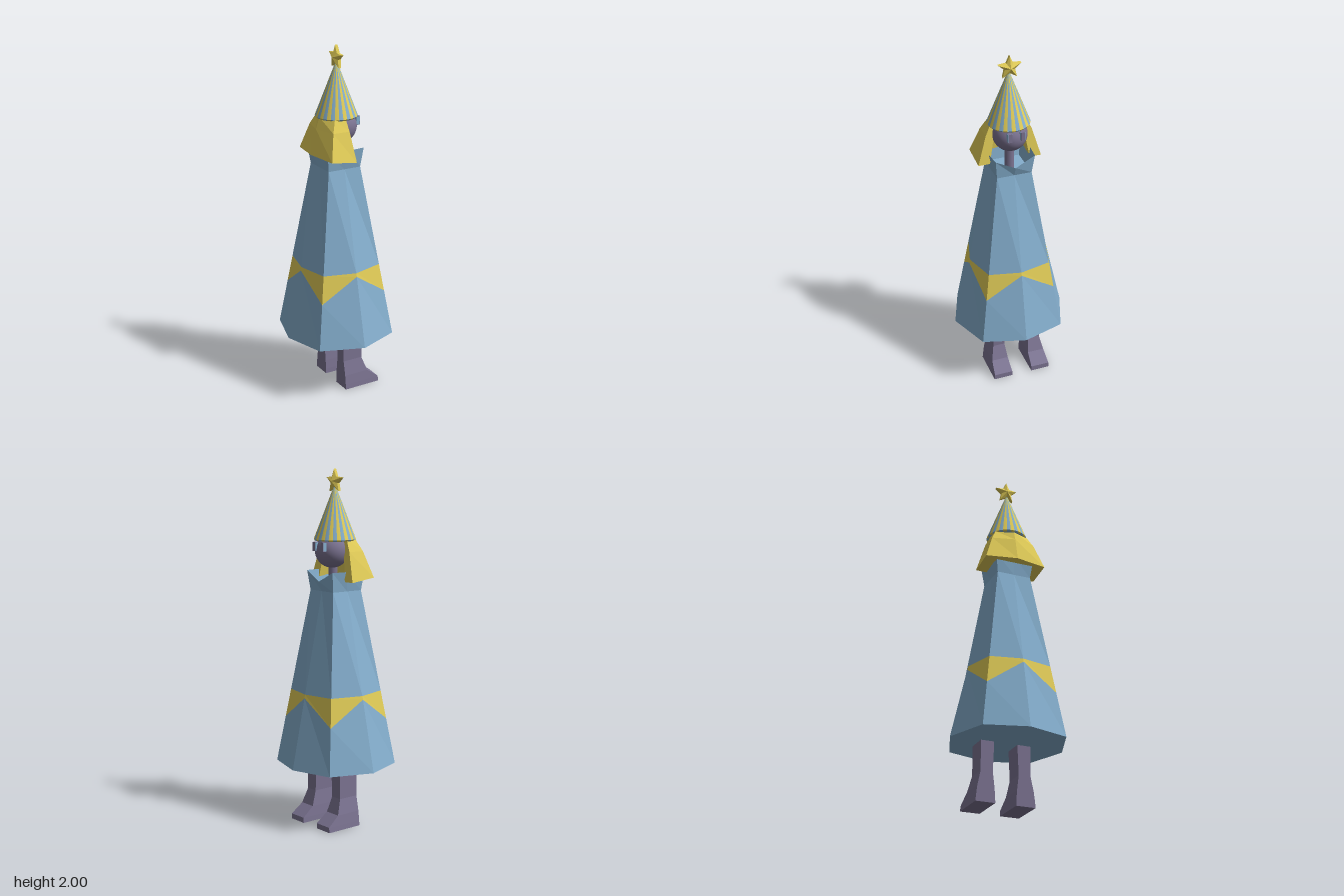
import * as THREE from 'three';

const mat = (name, color, extra = {}) => Object.assign(new THREE.MeshStandardMaterial({ color, ...extra }), { name });

// Faceted surface through closed loops listed from bottom to top
function loft(loops, capBottom = false, capTop = false) {
  const out = [];
  const tri = (a, b, c) => out.push(...a, ...b, ...c);
  const n = loops[0].length;
  for (let k = 0; k < loops.length - 1; k++) {
    const a = loops[k], b = loops[k + 1];
    for (let i = 0; i < n; i++) {
      const j = (i + 1) % n;
      tri(a[i], b[i], b[j]);
      tri(a[i], b[j], a[j]);
    }
  }
  const cap = (p, up) => {
    for (let i = 1; i < n - 1; i++) up ? tri(p[0], p[i + 1], p[i]) : tri(p[0], p[i], p[i + 1]);
  };
  if (capBottom) cap(loops[0], false);
  if (capTop) cap(loops[loops.length - 1], true);
  return toGeometry(out);
}

function toGeometry(positions) {
  const g = new THREE.BufferGeometry();
  g.setAttribute('position', new THREE.Float32BufferAttribute(positions, 3));
  g.computeVertexNormals();
  return g;
}

export function createModel() {
  const group = new THREE.Group();
  group.name = 'robedFigure';
  const blue = mat('clothBlue', 0x85afce, { side: THREE.DoubleSide });
  const yellow = mat('goldYellow', 0xe2cd58, { side: THREE.DoubleSide });
  const skin = mat('duskSkin', 0x7c7492);

  const add = (name, geometry, material, x = 0, y = 0, z = 0) => {
    const m = new THREE.Mesh(geometry, material);
    m.name = name;
    m.position.set(x, y, z);
    group.add(m);
    return m;
  };

  // Robe: square shoulders widening to an eight-sided hem
  const TOP = 1.33, HEM = 0.34;
  const robeLoop = (yMid, yCorner) => Array.from({ length: 8 }, (_, i) => {
    const corner = i % 2 === 1;
    const y = corner ? yCorner : yMid;
    const t = (TOP - y) / (TOP - HEM);
    const sx = Math.sign(Math.round(Math.cos(i * Math.PI / 4) * 10));
    const sz = Math.sign(Math.round(Math.sin(i * Math.PI / 4) * 10));
    const ex = corner ? 0.24 : 0.31, ez = corner ? 0.24 : 0.33;
    return [sx * (0.1 + (ex - 0.1) * t), y, sz * (0.1 + (ez - 0.1) * t)];
  });
  const hem = robeLoop(HEM, HEM), zigzag = robeLoop(0.74, 0.6);
  const bandTop = robeLoop(0.76, 0.76), shoulder = robeLoop(TOP, TOP);
  add('robeSkirt', loft([hem, zigzag], true), blue);
  add('robeBand', loft([zigzag, bandTop]), yellow);
  add('robeBody', loft([bandTop, shoulder], false, true), blue);

  // Collar: open, dipping to a notch at the face side
  const collarTop = [
    [0.12, 1.385, 0], [0.115, 1.44, 0.112], [0.02, 1.44, 0.12], [-0.115, 1.44, 0.115],
    [-0.11, 1.44, 0], [-0.115, 1.44, -0.115], [0.02, 1.44, -0.12], [0.115, 1.44, -0.112],
  ];
  add('collar', loft([shoulder, collarTop]), blue);

  // Neck and head
  add('neck', new THREE.CylinderGeometry(0.026, 0.026, 0.18, 12), skin, 0.02, 1.4, 0);
  add('head', new THREE.SphereGeometry(0.096, 32, 20), skin, 0.026, 1.552, 0);

  // Eyes
  for (const z of [0.034, -0.038]) {
    add('eye', new THREE.BoxGeometry(0.025, 0.05, 0.022), skin, 0.117, 1.577, z);
    for (const s of [-1, 1]) {
      add('eyeRim', new THREE.BoxGeometry(0.022, 0.046, 0.004), blue, 0.117, 1.577, z + s * 0.011);
    }
  }

  // Hair: thick swept shell, open toward the face
  const hairLoop = (front, corner, back) => {
    const mirror = ([x, y, z]) => [x, y, -z];
    const [fo, fi] = front, [co, ci] = corner, [bo, bi] = back;
    return [fo, co, bo, mirror(co), mirror(fo), mirror(fi), mirror(ci), bi, ci, fi];
  };
  const hair = [
    hairLoop([[0.03, 1.385, 0.181], [0.03, 1.385, 0.115]], [[-0.125, 1.405, 0.181], [-0.085, 1.4, 0.115]],
      [[-0.155, 1.41, 0], [-0.105, 1.405, 0]]),
    hairLoop([[0.012, 1.55, 0.132], [0.012, 1.55, 0.085]], [[-0.088, 1.55, 0.13], [-0.06, 1.55, 0.08]],
      [[-0.122, 1.55, 0], [-0.08, 1.55, 0]]),
    hairLoop([[0.005, 1.615, 0.102], [0.005, 1.615, 0.06]], [[-0.06, 1.615, 0.098], [-0.045, 1.615, 0.055]],
      [[-0.1, 1.615, 0], [-0.06, 1.615, 0]]),
  ];
  add('hair', loft(hair), yellow);
  const ends = [];
  const b = hair[0];
  for (let i = 0; i < 4; i++) {
    ends.push(...b[i], ...b[i + 1], ...b[8 - i], ...b[i], ...b[8 - i], ...b[9 - i]);
  }
  add('hairEnds', toGeometry(ends), yellow);

  // Hat: cone with alternating stripes, narrow rim and closed underside
  const striped = (g, perSegment) => {
    g.clearGroups();
    for (let i = 0; i < 32; i++) g.addGroup(i * perSegment, perSegment, i % 2);
    return g;
  };
  add('hat', striped(new THREE.ConeGeometry(0.118, 0.305, 32, 1, true), 3), [blue, yellow], 0.006, 1.7675, 0);
  add('hatRim', striped(new THREE.CylinderGeometry(0.118, 0.112, 0.008, 32, 1, true), 6), [blue, yellow], 0.006, 1.611, 0);
  add('hatUnderside', new THREE.CircleGeometry(0.112, 32).rotateX(Math.PI / 2), blue, 0.006, 1.607, 0);

  // Star: faceted, with a raised centre on both sides
  const star = [];
  const rim = (i, x) => {
    const a = i * Math.PI / 5, r = i % 2 ? 0.031 : 0.067;
    return [x, Math.cos(a) * r, Math.sin(a) * r];
  };
  for (let i = 0; i < 10; i++) {
    const f0 = rim(i, 0.008), f1 = rim(i + 1, 0.008), k0 = rim(i, -0.008), k1 = rim(i + 1, -0.008);
    star.push(0.028, 0, 0, ...f0, ...f1, -0.028, 0, 0, ...k1, ...k0);
    star.push(...f0, ...k0, ...k1, ...f0, ...k1, ...f1);
  }
  add('star', toGeometry(star), yellow, 0.008, 1.933, -0.004);

  // Legs with wedge feet: [y, toe x, inner z, outer z]
  const rows = [
    [0, 0.2, 0.045, 0.158], [0.03, 0.2, 0.046, 0.155], [0.085, 0.13, 0.05, 0.148],
    [0.17, 0.1, 0.06, 0.13], [0.36, 0.1, 0.052, 0.13],
  ];
  for (const [name, side, shift] of [['leftLeg', 1, 0], ['rightLeg', -1, -0.03]]) {
    const loops = rows.map(([y, toe, zi, zo]) => {
      const z0 = Math.min(side * zi, side * zo) + shift, z1 = Math.max(side * zi, side * zo) + shift;
      return [[toe, y, z0], [toe, y, z1], [-0.02, y, z1], [-0.02, y, z0]];
    });
    add(name, loft(loops, true, true), skin);
  }
  return group;
}
